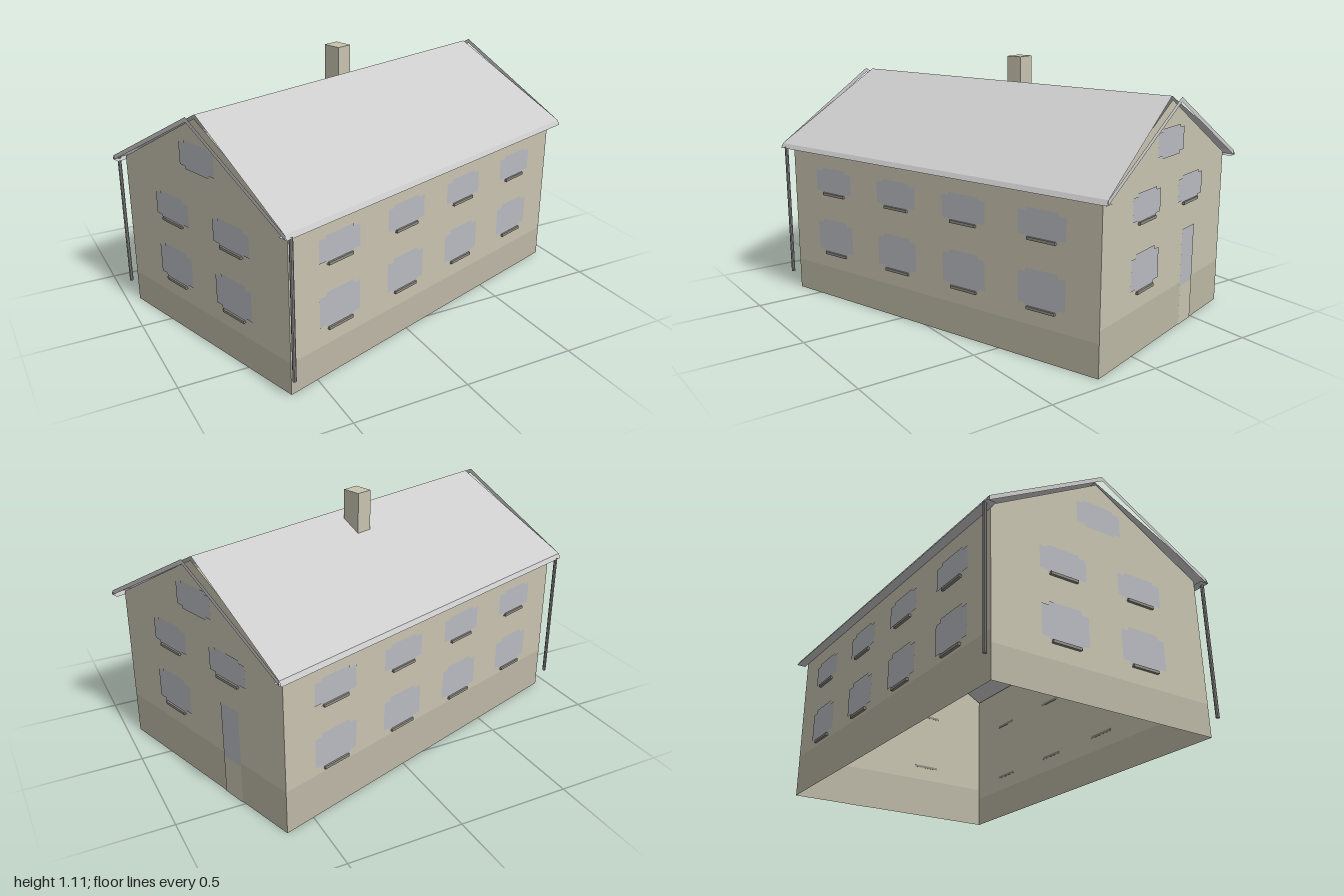
import * as THREE from 'three';

const A = 0.827, B = 0.516;            // wall half length and half width
const RA = 0.867, RB = 0.547;          // eaves half length and half width
const RIDGE = 1.0, EAVE = 0.7, WALL_TOP = 0.695, APEX = 0.985;

const mat = (color) => new THREE.MeshStandardMaterial({ color, side: THREE.DoubleSide, flatShading: true });
const mats = {
  wall: mat(0xc8c3b0), plinth: mat(0xbcb7a5), glass: mat(0xb8bac0),
  sill: mat(0x8f8b82), roof: mat(0xcccccc), pipe: mat(0x909090),
};

function add(parent, name, geometry, material, x = 0, y = 0, z = 0) {
  const mesh = new THREE.Mesh(geometry, material);
  mesh.name = name;
  mesh.position.set(x, y, z);
  parent.add(mesh);
  return mesh;
}

function panel(points) {
  return new THREE.ShapeGeometry(new THREE.Shape(points.map(([x, y]) => new THREE.Vector2(x, y))));
}

// Four corners, counter-clockwise as seen from the front
function quad(a, b, c, d) {
  const g = new THREE.BufferGeometry();
  g.setAttribute('position', new THREE.Float32BufferAttribute([...a, ...b, ...c, ...a, ...c, ...d], 3));
  g.computeVertexNormals();
  return g;
}

// Glass with lower side lights and a sill
function addWindow(parent, x, y0, y1, sill = true) {
  const h = y1 - y0, mid = (y0 + y1) / 2;
  add(parent, 'windowGlass', new THREE.PlaneGeometry(0.15, h), mats.glass, x, mid, 0.003);
  for (const s of [-1, 1]) {
    add(parent, 'windowSide', new THREE.PlaneGeometry(0.035, h * 0.8), mats.glass, x + s * 0.0925, mid, 0.003);
  }
  if (sill) add(parent, 'windowSill', new THREE.BoxGeometry(0.13, 0.012, 0.012), mats.sill, x, y0, 0.005);
}

// One wall with plinth band; local z points outwards
function addWall(house, name, half, distance, angle, plinth, gable) {
  const g = new THREE.Group();
  g.name = name;
  g.rotation.y = angle;
  g.position.set(Math.sin(angle) * distance, 0, Math.cos(angle) * distance);
  const top = gable ? [[half, WALL_TOP], [0, APEX], [-half, WALL_TOP]] : [[half, WALL_TOP], [-half, WALL_TOP]];
  add(g, 'plinth', panel([[-half, 0], [half, 0], [half, plinth], [-half, plinth]]), mats.plinth);
  add(g, 'wallFace', panel([[-half, plinth], [half, plinth], ...top]), mats.wall);
  house.add(g);
  return g;
}

export function createModel() {
  const model = new THREE.Group();
  model.name = 'house';
  const house = new THREE.Group();
  house.name = 'building';
  house.rotation.y = 0.31;
  model.add(house);

  // Long walls, two rows of four windows each
  const front = addWall(house, 'frontWall', A, B, 0, 0.14, false);
  const back = addWall(house, 'backWall', A, B, Math.PI, 0.19, false);
  for (const wall of [front, back]) {
    for (const x of [-0.567, -0.185, 0.185, 0.567]) {
      addWindow(wall, x, 0.21, 0.37);
      addWindow(wall, x, 0.49, 0.61);
    }
  }

  // Gable with the door
  const doorGable = addWall(house, 'doorGable', B, A, Math.PI / 2, 0.19, true);
  addWindow(doorGable, -0.186, 0.26, 0.42);
  addWindow(doorGable, -0.186, 0.54, 0.66);
  addWindow(doorGable, 0.192, 0.54, 0.66);
  addWindow(doorGable, 0, 0.76, 0.88, false);
  add(doorGable, 'door', new THREE.PlaneGeometry(0.11, 0.25), mats.glass, 0.192, 0.3, 0.003);
  add(doorGable, 'doorBase', new THREE.PlaneGeometry(0.11, 0.175), mats.wall, 0.192, 0.0875, 0.003);

  // Opposite gable
  const plainGable = addWall(house, 'plainGable', B, A, -Math.PI / 2, 0.14, true);
  for (const x of [-0.19, 0.19]) {
    addWindow(plainGable, x, 0.21, 0.37);
    addWindow(plainGable, x, 0.49, 0.61);
  }
  addWindow(plainGable, 0, 0.76, 0.88, false);

  // Roof slopes with fascia, soffit and thin verge boards; both sides
  const tip = 0.824, edge = 0.558, low = 0.68;
  for (const s of [1, -1]) {
    const side = new THREE.Group();
    side.name = s > 0 ? 'frontRoof' : 'backRoof';
    side.rotation.y = s > 0 ? 0 : Math.PI;
    add(side, 'roofSlope', quad([-RA, EAVE, RB], [RA, EAVE, RB], [tip, RIDGE, 0], [-tip, RIDGE, 0]), mats.roof);
    add(side, 'fascia', quad([-RA, low, edge], [RA, low, edge], [RA, EAVE, RB], [-RA, EAVE, RB]), mats.roof);
    add(side, 'soffit', quad([-RA, low, B], [RA, low, B], [RA, low, edge], [-RA, low, edge]), mats.roof);
    for (const x of [-RA, RA]) {
      add(side, 'vergeBoard', quad([x, low, RB], [x, RIDGE - 0.02, 0], [x, RIDGE, 0], [x, EAVE, RB]), mats.roof);
    }
    house.add(side);
  }

  // Chimney
  add(house, 'chimney', new THREE.BoxGeometry(0.073, 0.205, 0.085), mats.wall, 0.023, 1.0025, -0.087);

  // Downpipes at the plain gable corners
  for (const s of [-1, 1]) {
    add(house, 'downpipe', new THREE.CylinderGeometry(0.008, 0.008, 0.6, 8), mats.pipe, -0.84, 0.385, s * 0.55);
  }
  return model;
}
